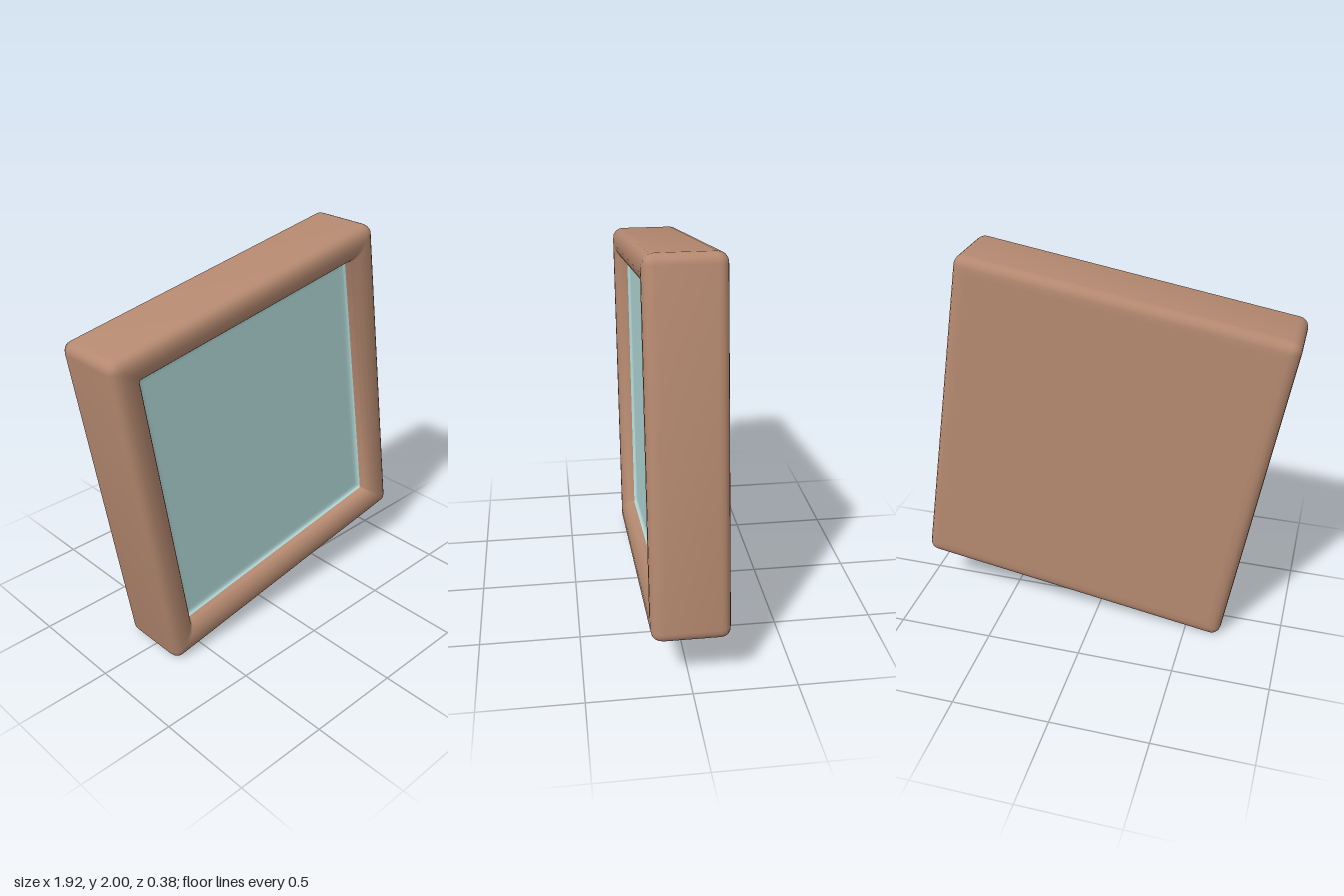
import * as THREE from 'three';
import { toCreasedNormals } from 'three/addons/utils/BufferGeometryUtils.js';

const W = 1.67, H = 1.768, TILT = 0.161;

// Points of a rounded rectangle, anticlockwise seen from the front
function ring(w, h, r, z, steps = 5) {
  const pts = [];
  [[1, 1], [-1, 1], [-1, -1], [1, -1]].forEach(([sx, sy], q) => {
    for (let k = 0; k <= steps; k++) {
      const a = (q + k / steps) * Math.PI / 2;
      pts.push([sx * (w / 2 - r) + r * Math.cos(a), sy * (h / 2 - r) + r * Math.sin(a), z]);
    }
  });
  return pts;
}

// Skin over successive rings, from the back to the front, closed by a fan at each end
function skin(rings) {
  const n = rings[0].length, last = rings.length - 1, index = [];
  const pts = rings.flat();
  const back = pts.push([0, 0, rings[0][0][2]]) - 1;
  const front = pts.push([0, 0, rings[last][0][2]]) - 1;
  for (let j = 0; j < n; j++) {
    const k = (j + 1) % n;
    index.push(back, k, j, front, last * n + j, last * n + k);
    for (let i = 0; i < last; i++) {
      const a = i * n + j, b = i * n + k;
      index.push(a, b, b + n, a, b + n, a + n);
    }
  }
  const g = new THREE.BufferGeometry();
  g.setAttribute('position', new THREE.Float32BufferAttribute(pts.flat(), 3));
  g.setIndex(index);
  return toCreasedNormals(g, 0.6);
}

// Mesh from a profile of [inset from the frame's outer edge, z]
function part(name, color, profile) {
  const rings = profile.map(([d, z]) => ring(W - 2 * d, H - 2 * d, Math.max(0.05 - d, 0.012), z));
  const mesh = new THREE.Mesh(skin(rings), new THREE.MeshStandardMaterial({ color }));
  mesh.name = name;
  return mesh;
}

export function createModel() {
  const model = new THREE.Group();
  const picture = new THREE.Group();
  picture.name = 'tiltedFrame';
  picture.position.y = 1;
  picture.rotation.z = TILT;
  model.add(picture);

  // Frame with a flat back, rounded rim and shallow recess
  picture.add(part('frame', 0xb58970, [
    [0.08, -0.187], [0.05, -0.187], [0.03, -0.182], [0.013, -0.171], [0.003, -0.155], [0, -0.135],
    [0, 0.128], [0.003, 0.15], [0.013, 0.169], [0.03, 0.182], [0.055, 0.188],
    [0.085, 0.188], [0.115, 0.181], [0.138, 0.167], [0.152, 0.148], [0.158, 0.13], [0.162, 0.1],
  ]));

  // Flat pane whose edge curls up against the rim
  picture.add(part('pane', 0xb0d6d6, [
    [0.161, 0.098], [0.161, 0.12], [0.164, 0.112], [0.17, 0.107], [0.18, 0.104], [0.2, 0.104],
  ]));

  return model;
}
